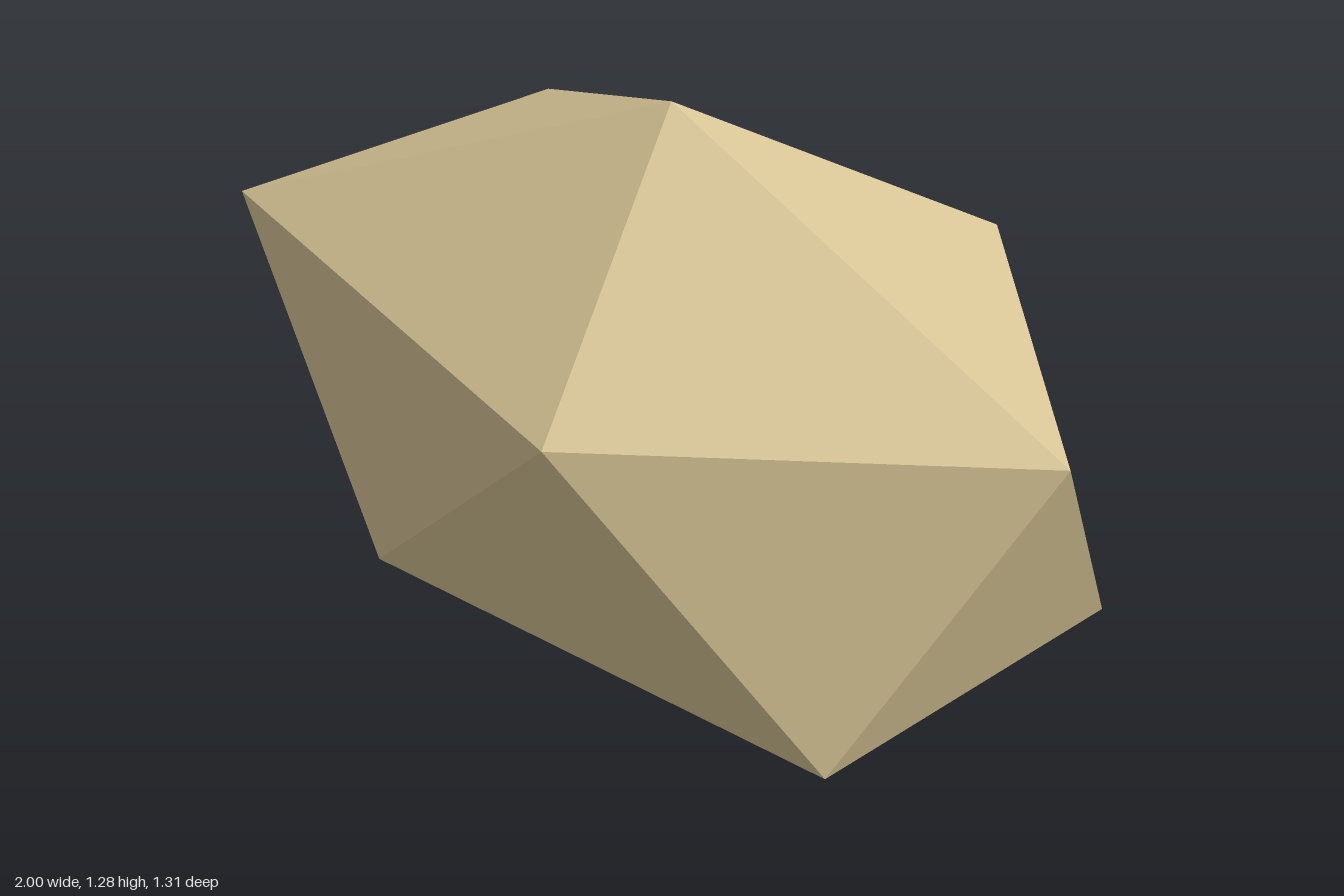
import * as THREE from 'three';

const sandstone = new THREE.MeshStandardMaterial({ color: 0xd8c596 });
sandstone.name = 'sandstone';

// Closed faceted stone: two poles joined by two staggered five-point rings
function facetedStone(top, upper, lower, bottom) {
  const positions = [];
  const face = (...corners) => corners.forEach((p) => positions.push(...p));
  const n = upper.length;
  for (let i = 0; i < n; i++) {
    const j = (i + 1) % n;
    face(top, upper[j], upper[i]); // cap
    face(upper[i], upper[j], lower[i]); // side, pointing down
    face(upper[j], lower[j], lower[i]); // side, pointing up
    face(lower[i], lower[j], bottom); // underside
  }
  const geometry = new THREE.BufferGeometry();
  geometry.setAttribute('position', new THREE.Float32BufferAttribute(positions, 3));
  geometry.computeVertexNormals(); // corners are unshared, so facets stay flat
  return geometry;
}

export function createModel() {
  const group = new THREE.Group();
  group.name = 'rock';

  // Rings run from +x towards +z; each lower point sits between two upper ones
  const upper = [
    [1, 0.885, 0],
    [0.23, 0.868, 0.655],
    [-0.99, 0.89, 0.43],
    [-0.93, 0.87, -0.41],
    [0.23, 0.87, -0.657],
  ];
  const lower = [
    [0.775, 0.255, 0.42],
    [-0.38, 0.297, 0.587],
    [-1, 0.3, 0],
    [-0.38, 0.297, -0.582],
    [0.775, 0.257, -0.415],
  ];
  const stone = new THREE.Mesh(
    facetedStone([-0.09, 1.277, 0], upper, lower, [-0.09, 0, 0]),
    sandstone,
  );
  stone.name = 'stone';
  group.add(stone);
  return group;
}
